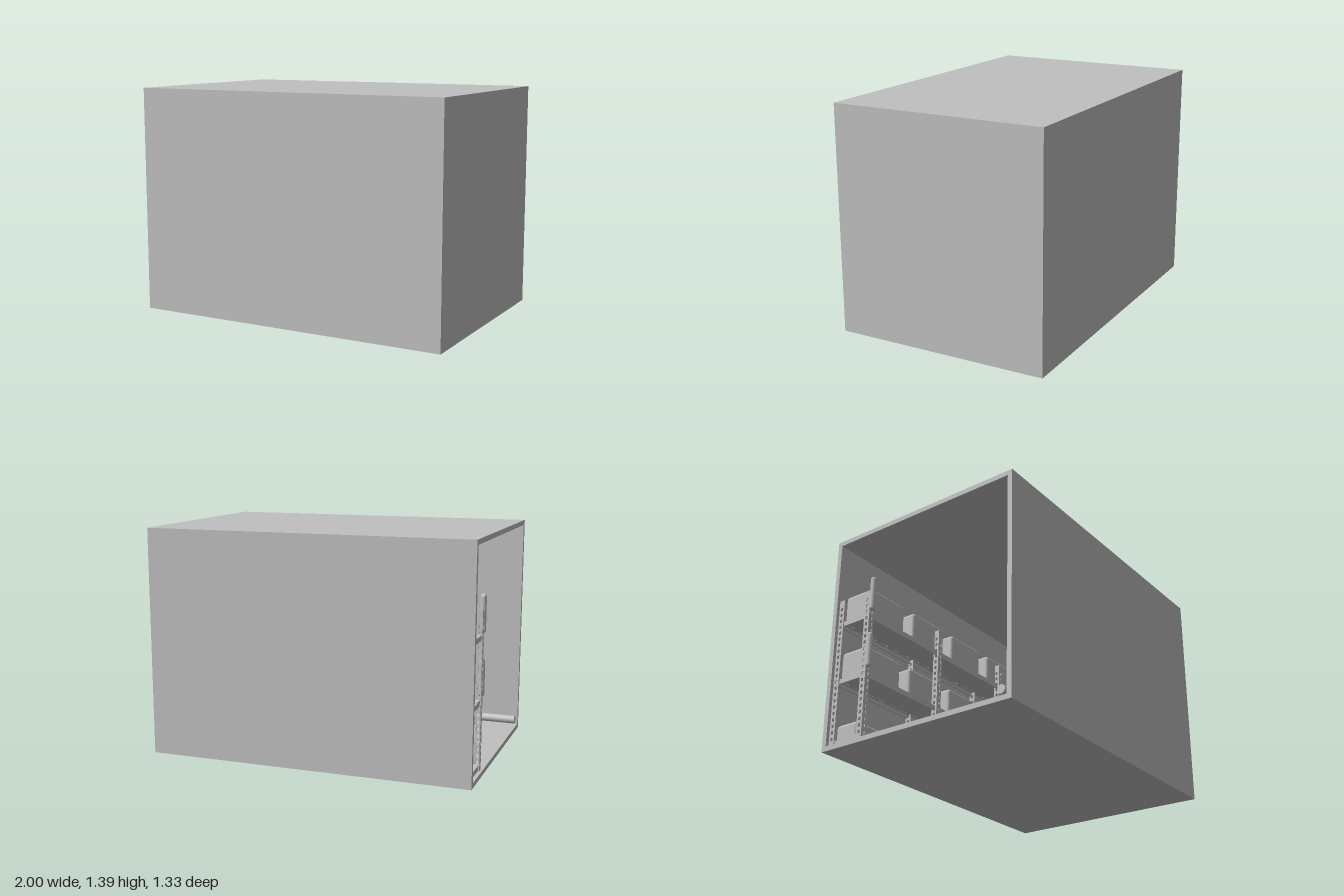
import * as THREE from 'three';
import { RoundedBoxGeometry } from 'three/addons/geometries/RoundedBoxGeometry.js';

const W = 2, H = 1.39, D = 1.334, T = 0.03;
const grey = new THREE.MeshStandardMaterial({ color: 0xc0c0c0 });
grey.name = 'plain grey';

function add(parent, name, geometry, x, y, z) {
  const mesh = new THREE.Mesh(geometry, grey);
  mesh.name = name;
  mesh.position.set(x, y, z);
  parent.add(mesh);
  return mesh;
}

function rect(target, x, y, w, h) {
  target.moveTo(x - w / 2, y - h / 2);
  target.lineTo(x + w / 2, y - h / 2);
  target.lineTo(x + w / 2, y + h / 2);
  target.lineTo(x - w / 2, y + h / 2);
  target.closePath();
  return target;
}

// Upright strip with a column of slots
function slottedStrip(width, height, depth) {
  const shape = rect(new THREE.Shape(), 0, height / 2, width, height);
  for (let y = 0.04; y < height - 0.02; y += 0.04) {
    shape.holes.push(rect(new THREE.Path(), 0, y, width * 0.4, 0.02));
  }
  return new THREE.ExtrudeGeometry(shape, { depth, bevelEnabled: false });
}

// Shelf with rows of slots near its long edges
function slottedShelf(length, depth, thickness) {
  const shape = rect(new THREE.Shape(), 0, 0, length, depth);
  for (let x = -length / 2 + 0.06; x < length / 2 - 0.04; x += 0.1) {
    for (const s of [-1, 1]) {
      shape.holes.push(rect(new THREE.Path(), x, s * depth * 0.4, 0.05, 0.01));
    }
  }
  return new THREE.ExtrudeGeometry(shape, { depth: thickness, bevelEnabled: false }).rotateX(-Math.PI / 2);
}

export function createModel() {
  const model = new THREE.Group();
  model.name = 'storageContainer';

  // Outer shell, open at the -x end
  const shell = new THREE.Group();
  shell.name = 'shell';
  const frame = rect(new THREE.Shape(), 0, H / 2, D, H);
  frame.holes.push(rect(new THREE.Path(), 0, H / 2, D - 2 * T, H - 2 * T));
  const tube = new THREE.ExtrudeGeometry(frame, { depth: W, bevelEnabled: false }).rotateY(Math.PI / 2);
  add(shell, 'walls', tube, -W / 2, 0, 0);
  add(shell, 'endWall', new THREE.BoxGeometry(T, H - 2 * T, D - 2 * T), W / 2 - T / 2, H / 2, 0);
  model.add(shell);

  // Shelving rack along the back wall
  const rack = new THREE.Group();
  rack.name = 'rack';
  const zBack = -0.63, zFront = -0.38, zMid = (zBack + zFront) / 2;
  const x0 = -0.985, x1 = 0.94, length = x1 - x0;
  const postFace = slottedStrip(0.04, 0.94, 0.006).rotateY(Math.PI / 2);
  const postSide = slottedStrip(0.04, 0.94, 0.006);
  for (const x of [x0, -0.35, 0.29, x1 - 0.01]) {
    for (const z of [zBack + 0.02, zFront - 0.02]) {
      const post = new THREE.Group();
      post.name = 'post';
      add(post, 'postFace', postFace, x, T, z);
      add(post, 'postSide', postSide, x + 0.02, T, z + (z > zMid ? 0.013 : -0.019));
      rack.add(post);
    }
  }

  // Shelves with edge rails and the cases standing on them
  const levels = [
    { y: 0.045, h: 0.11, d: 0.16 },
    { y: 0.43, h: 0.19, d: 0.2 },
    { y: 0.81, h: 0.19, d: 0.21 },
  ];
  const shelf = slottedShelf(length - 0.02, zFront - zBack - 0.02, 0.008);
  for (const { y, h, d } of levels) {
    add(rack, 'shelf', shelf, (x0 + x1) / 2, y + 0.008, zMid);
    for (const z of [zBack + 0.01, zFront - 0.015]) {
      add(rack, 'shelfRail', new THREE.BoxGeometry(length - 0.02, 0.03, 0.008), (x0 + x1) / 2, y, z);
    }
    for (const x of [x0 + 0.012, x1 - 0.012]) {
      add(rack, 'shelfEnd', new THREE.BoxGeometry(0.008, 0.03, zFront - zBack - 0.02), x, y, zMid);
    }
    for (let i = 0; i < 5; i++) {
      const x = -0.79 + i * 0.38;
      add(rack, 'case', new RoundedBoxGeometry(0.3, h, d, 3, 0.02), x, y + 0.016 + h / 2, zBack + 0.005 + d / 2);
    }
  }

  // Rounded upright bars on the front posts
  for (const y of [0.575, 0.945]) {
    for (const x of [x0 + 0.01, x1 - 0.01]) {
      add(rack, 'uprightBar', new THREE.CapsuleGeometry(0.018, 0.19, 6, 12), x, y, zFront + 0.01);
    }
  }
  model.add(rack);

  // Long round pole lying along the front wall
  const pole = add(model, 'pole', new THREE.CylinderGeometry(0.026, 0.026, 1.95, 24), -0.015, 0.07, 0.595);
  pole.rotation.z = Math.PI / 2;

  return model;
}
